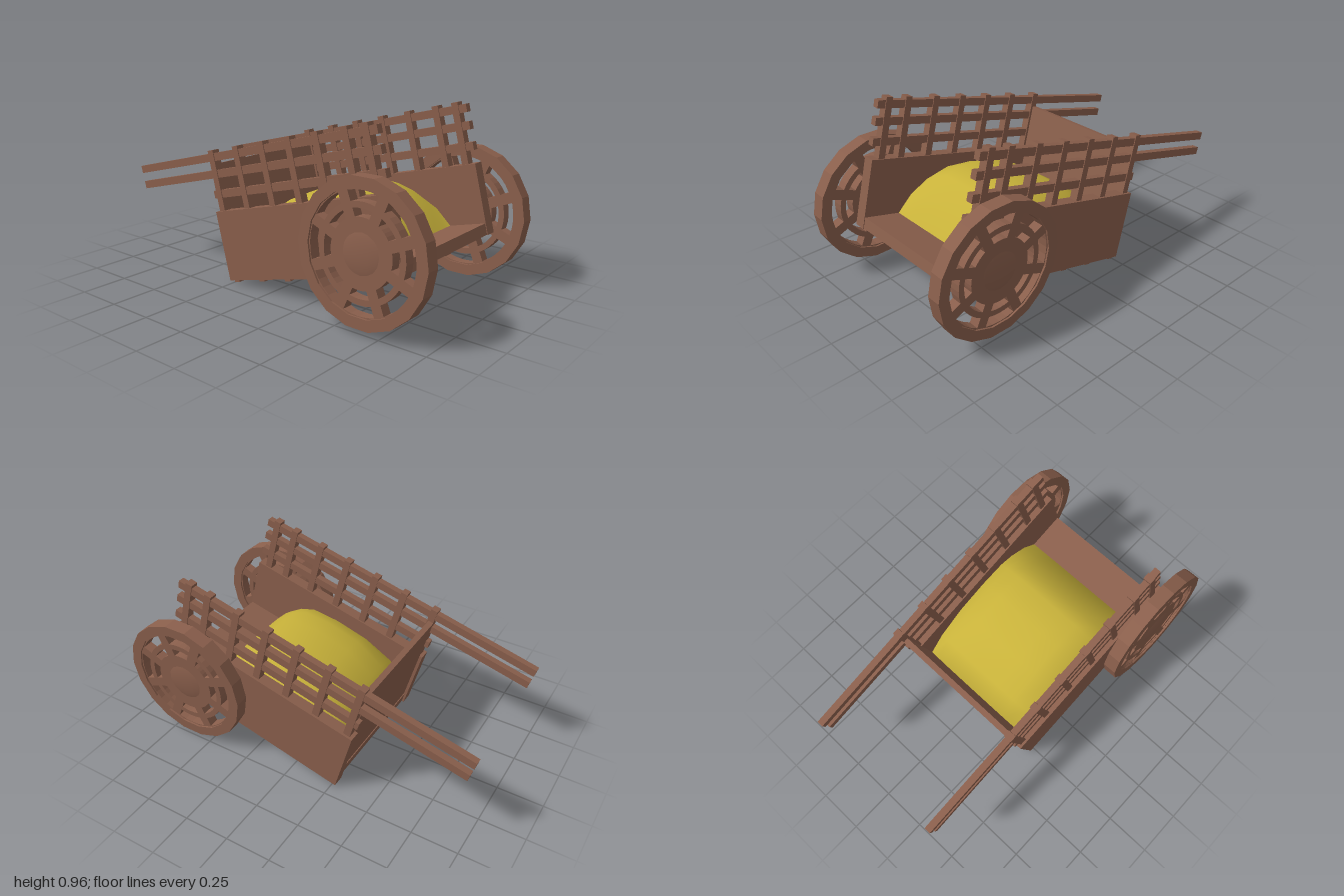
import * as THREE from 'three';

const wood = new THREE.MeshStandardMaterial({ color: 0x8a5f4c });
wood.name = 'brown wood';
const straw = new THREE.MeshStandardMaterial({ color: 0xc8b23a, side: THREE.DoubleSide });
straw.name = 'yellow straw';

function add(parent, name, geometry, material = wood) {
  const mesh = new THREE.Mesh(geometry, material);
  mesh.name = name;
  parent.add(mesh);
  return mesh;
}

// Box given by its limits along each axis
function slab(parent, name, x0, x1, y0, y1, z0, z1) {
  const mesh = add(parent, name, new THREE.BoxGeometry(x1 - x0, y1 - y0, z1 - z0));
  mesh.position.set((x0 + x1) / 2, (y0 + y1) / 2, (z0 + z1) / 2);
  return mesh;
}

// Points along a circular arc
function arc(r, a0, a1, n) {
  return Array.from({ length: n + 1 }, (_, i) => {
    const a = a0 + (a1 - a0) * i / n;
    return new THREE.Vector2(r * Math.cos(a), r * Math.sin(a));
  });
}

// Curved slot between two radii, leaving a spoke of even width on each side
function slot(r0, r1, mid, count, spoke) {
  const half = r => Math.PI / count - spoke / 2 / r;
  return new THREE.Path([
    ...arc(r0, mid - half(r0), mid + half(r0), 4),
    ...arc(r1, mid + half(r1), mid - half(r1), 4),
  ]);
}

// Disc extruded along x and centred on the origin
function disc(radius, holes, thickness) {
  const shape = new THREE.Shape(arc(radius, 0, Math.PI * 2, 18).slice(0, -1));
  shape.holes = holes;
  const g = new THREE.ExtrudeGeometry(shape, { depth: thickness, bevelEnabled: false });
  return g.translate(0, 0, -thickness / 2).rotateY(Math.PI / 2);
}

function makeWheel(side) {
  const wheel = new THREE.Group();
  wheel.name = side > 0 ? 'leftWheel' : 'rightWheel';
  const rimHole = new THREE.Path(arc(0.3, 0, Math.PI * 2, 18).slice(0, -1));
  add(wheel, 'rim', disc(0.357, [rimHole], 0.075));

  // Spoked web with two rings of slots
  const slots = [];
  for (let i = 0; i < 8; i++) {
    const a = i * Math.PI / 4;
    slots.push(slot(0.24, 0.292, a, 8, 0.055), slot(0.17, 0.21, a, 8, 0.055));
  }
  add(wheel, 'spokes', disc(0.305, slots, 0.055));

  const hub = add(wheel, 'hub', new THREE.SphereGeometry(0.15, 20, 12));
  hub.scale.x = 0.25;
  const axle = add(wheel, 'axleStub', new THREE.CylinderGeometry(0.03, 0.03, 0.08, 12));
  axle.rotation.z = Math.PI / 2;
  axle.position.x = -side * 0.04;
  return wheel;
}

// Mounded load: a lengthwise profile that sags toward both sides
function makeHay() {
  const profile = [[-0.225, 0.13], [-0.22, 0.27], [-0.1, 0.38], [0.08, 0.45], [0.27, 0.462],
    [0.42, 0.442], [0.5, 0.39], [0.59, 0.28], [0.655, 0.135]];
  const across = [[-0.362, 0.7], [-0.3, 0.87], [-0.21, 0.98], [-0.1, 1], [0, 1.01],
    [0.1, 1], [0.21, 0.98], [0.3, 0.87], [0.362, 0.7]];
  const floor = 0.13;
  const g = new THREE.PlaneGeometry(1, 1, across.length - 1, profile.length - 1);
  const p = g.attributes.position;
  profile.forEach(([z, y], j) => across.forEach(([x, k], i) => {
    p.setXYZ(j * across.length + i, x, floor + (y - floor) * k, z);
  }));
  g.computeVertexNormals();
  return g;
}

export function createModel() {
  const model = new THREE.Group();
  model.name = 'handcart';

  // Body, tipped back so the handles slope down
  const body = new THREE.Group();
  body.name = 'body';
  body.position.x = 0.006;
  body.rotation.x = -0.253;
  model.add(body);

  slab(body, 'floor', -0.37, 0.37, 0.077, 0.137, -0.25, 0.862);
  slab(body, 'backBoard', -0.364, 0.364, 0.077, 0.7, -0.245, -0.215);
  add(body, 'hay', makeHay(), straw);

  const postZ = [-0.224, -0.036, 0.148, 0.33, 0.508, 0.685, 0.804];
  for (const side of [-1, 1]) {
    const rack = new THREE.Group();
    rack.name = side > 0 ? 'leftSide' : 'rightSide';
    body.add(rack);
    const a = side > 0 ? 0.36 : -0.425;
    slab(rack, 'sidePanel', a, a + 0.065, 0.075, 0.45, -0.262, 0.866);

    // Lattice of uprights and long rails, the upper two running on as handles
    const c = side * 0.39;
    for (const z of postZ)
      slab(rack, 'upright', c - 0.0225, c + 0.0225, 0.062, 0.775, z - 0.019, z + 0.019);
    for (const [y, back] of [[0.737, -0.838], [0.647, -0.836], [0.54, -0.265]])
      slab(rack, back < -0.5 ? 'handleRail' : 'lowerRail',
        c - 0.018, c + 0.018, y - 0.021, y + 0.021, back, 0.867);
  }

  // Wheels, both leaning slightly the same way
  for (const side of [-1, 1]) {
    const wheel = makeWheel(side);
    wheel.position.set(side * 0.471, 0.376 - side * 0.005, 0.635 - side * 0.01);
    wheel.rotation.z = -0.037;
    model.add(wheel);
  }
  return model;
}
